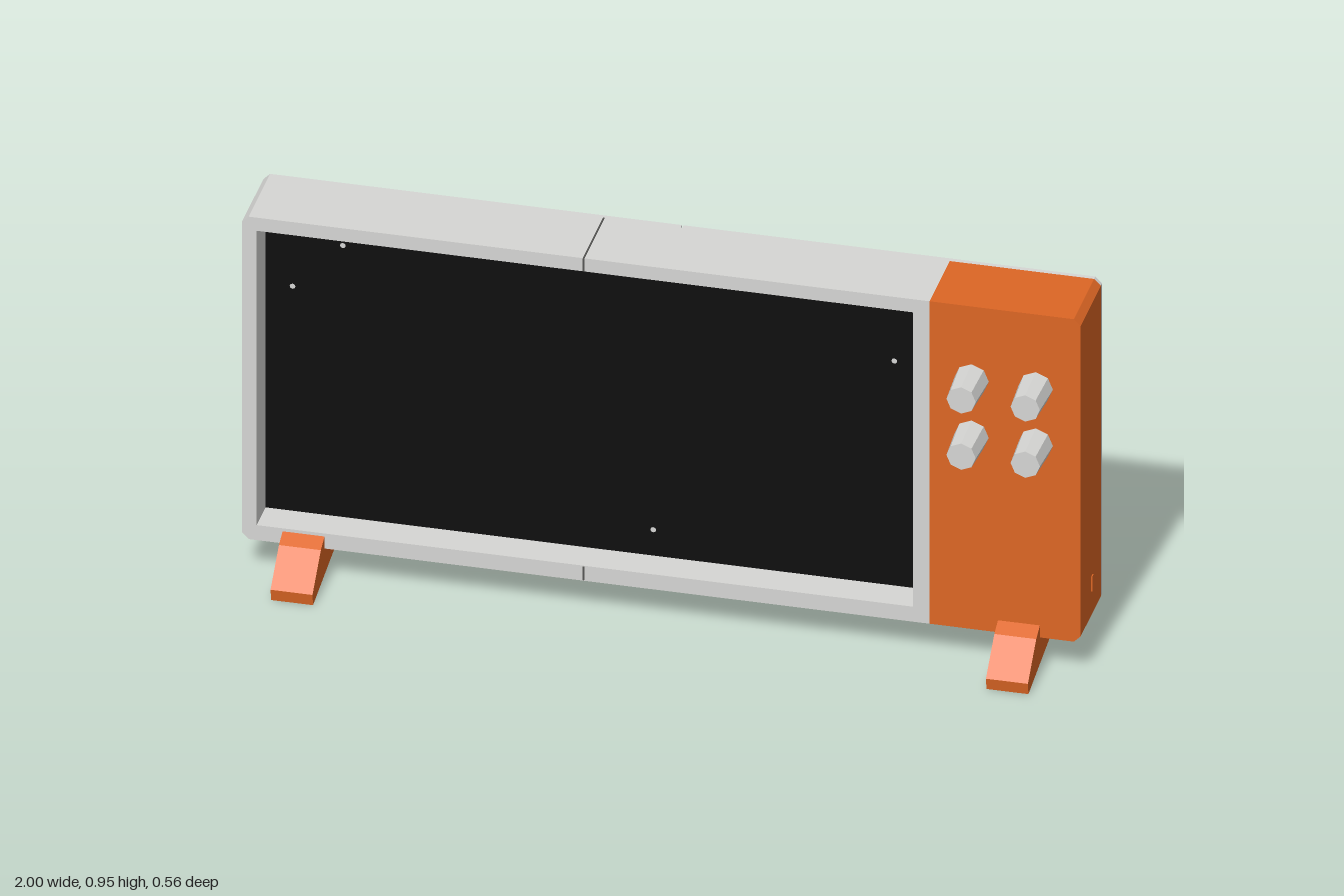
import * as THREE from 'three';

const BOTTOM = 0.09, TOP = 0.95, FRONT = 0.165, BACK = -0.04, PLATE = -0.028, CUT = 0.016;
const mat = (name, color) => Object.assign(new THREE.MeshStandardMaterial({ color }), { name });

// Rectangle in x/y with chamfered corners on the chosen sides
function panel(x0, x1, left, right) {
  const l = left ? CUT : 0, r = right ? CUT : 0;
  return new THREE.Shape([
    [x0 + l, BOTTOM], [x1 - r, BOTTOM], [x1, BOTTOM + r], [x1, TOP - r],
    [x1 - r, TOP], [x0 + l, TOP], [x0, TOP - l], [x0, BOTTOM + l],
  ].map(([x, y]) => new THREE.Vector2(x, y)));
}

function rectHole(cx, cy, w, h) {
  const p = new THREE.Path();
  p.moveTo(cx - w / 2, cy - h / 2).lineTo(cx - w / 2, cy + h / 2);
  p.lineTo(cx + w / 2, cy + h / 2).lineTo(cx + w / 2, cy - h / 2).closePath();
  return p;
}

function extrude(shape, z0, z1) {
  const g = new THREE.ExtrudeGeometry(shape, { depth: z1 - z0, bevelEnabled: false, curveSegments: 5 });
  return g.translate(0, 0, z0);
}

export function createModel() {
  const model = new THREE.Group();
  const gray = mat('light gray plastic', 0xd6d6d4);
  const orange = mat('orange plastic', 0xdd6624);
  const black = mat('black display', 0x0e0e0e);
  const dark = mat('dark seam', 0x555553);

  const add = (name, geometry, material, x = 0, y = 0, z = 0) => {
    const mesh = new THREE.Mesh(geometry, material);
    mesh.name = name;
    mesh.position.set(x, y, z);
    model.add(mesh);
    return mesh;
  };

  // Gray frame around the recessed display
  const frame = panel(-1, 0.64, true, false);
  frame.holes.push(rectHole(-0.1825, 0.5225, 1.565, 0.785));
  add('displayFrame', extrude(frame, PLATE, FRONT), gray);
  add('display', new THREE.BoxGeometry(1.565, 0.785, 0.03), black, -0.1825, 0.5225, 0.065);
  for (const [x, y] of [[-0.9, 0.73], [-0.78, 0.855], [0.535, 0.73], [-0.04, 0.2]])
    add('displayPin', new THREE.CircleGeometry(0.007, 8), gray, x, y, 0.082);

  // Seams where the two frame halves meet
  const seamX = -0.185, depth = FRONT - PLATE;
  for (const y of [TOP, BOTTOM])
    add('frameSeam', new THREE.BoxGeometry(0.004, 0.002, depth), dark, seamX, y, PLATE + depth / 2);
  for (const y of [0.9325, 0.11])
    add('frameSeam', new THREE.BoxGeometry(0.004, 0.035, 0.002), dark, seamX, y, FRONT);

  // Hollow orange control box with a closed face
  const box = panel(0.64, 1, false, true);
  box.holes.push(rectHole(0.815, 0.52, 0.31, 0.8));
  add('controlBox', extrude(box, PLATE, 0.15), orange);
  add('controlFace', extrude(panel(0.64, 1, false, true), 0.15, FRONT), orange);
  add('sideSwitch', new THREE.BoxGeometry(0.006, 0.04, 0.013), orange, 1, 0.19, 0.058);

  // Four tapered, faceted knobs
  const knob = new THREE.CylinderGeometry(0.035, 0.041, 0.1, 8).toNonIndexed();
  knob.computeVertexNormals();
  knob.rotateX(Math.PI / 2);
  for (const x of [0.74, 0.893])
    for (const y of [0.605, 0.755]) add('knob', knob, gray, x, y, 0.215);

  // Two back plates with vents, keyholes and screw holes
  const screws = [0.94, 0.7, 0.583, 0.035, -0.03, -0.128, -0.237, -0.95];
  const halves = [
    { x0: 0.002, x1: 1, vent: 0.82, key: 0.415 },
    { x0: -1, x1: -0.002, vent: -0.16, key: -0.562 },
  ];
  for (const { x0, x1, vent, key } of halves) {
    const plate = panel(x0, x1, x0 < 0, x1 > 0.5);
    for (const y of [0.69, 0.645, 0.277, 0.232])
      for (let i = 0; i < 8; i++) plate.holes.push(rectHole(vent - i * 0.0975, y, 0.07, 0.019));
    for (const x of screws) {
      if (x < x0 || x > x1) continue;
      for (const y of [0.933, 0.112]) {
        const hole = new THREE.Path();
        hole.absarc(x, y, 0.01, 0, Math.PI * 2, true);
        plate.holes.push(hole);
      }
    }
    const keyhole = new THREE.Path();
    keyhole.moveTo(key + 0.008, 0.83);
    keyhole.absarc(key, 0.78, 0.018, Math.PI * 0.35, Math.PI * 0.65, true);
    keyhole.lineTo(key - 0.008, 0.83);
    keyhole.closePath();
    plate.holes.push(keyhole);
    add('backPlate', extrude(plate, BACK, PLATE), gray);
  }

  // Angled feet with a notch that holds the body (profile in z, y)
  const footShape = new THREE.Shape([
    [0.275, 0], [0.28, 0.03], [0.2, 0.105], [FRONT, 0.122], [FRONT, BOTTOM], [BACK, BOTTOM],
    [BACK, 0.22], [-0.125, 0.26], [-0.275, 0.128], [-0.28, 0.1],
  ].map(([z, y]) => new THREE.Vector2(z, y)));
  const foot = extrude(footShape, -0.05, 0.05).rotateY(-Math.PI / 2);
  for (const [name, x] of [['leftFoot', 0.853], ['rightFoot', -0.853]]) add(name, foot, orange, x);

  return model;
}
